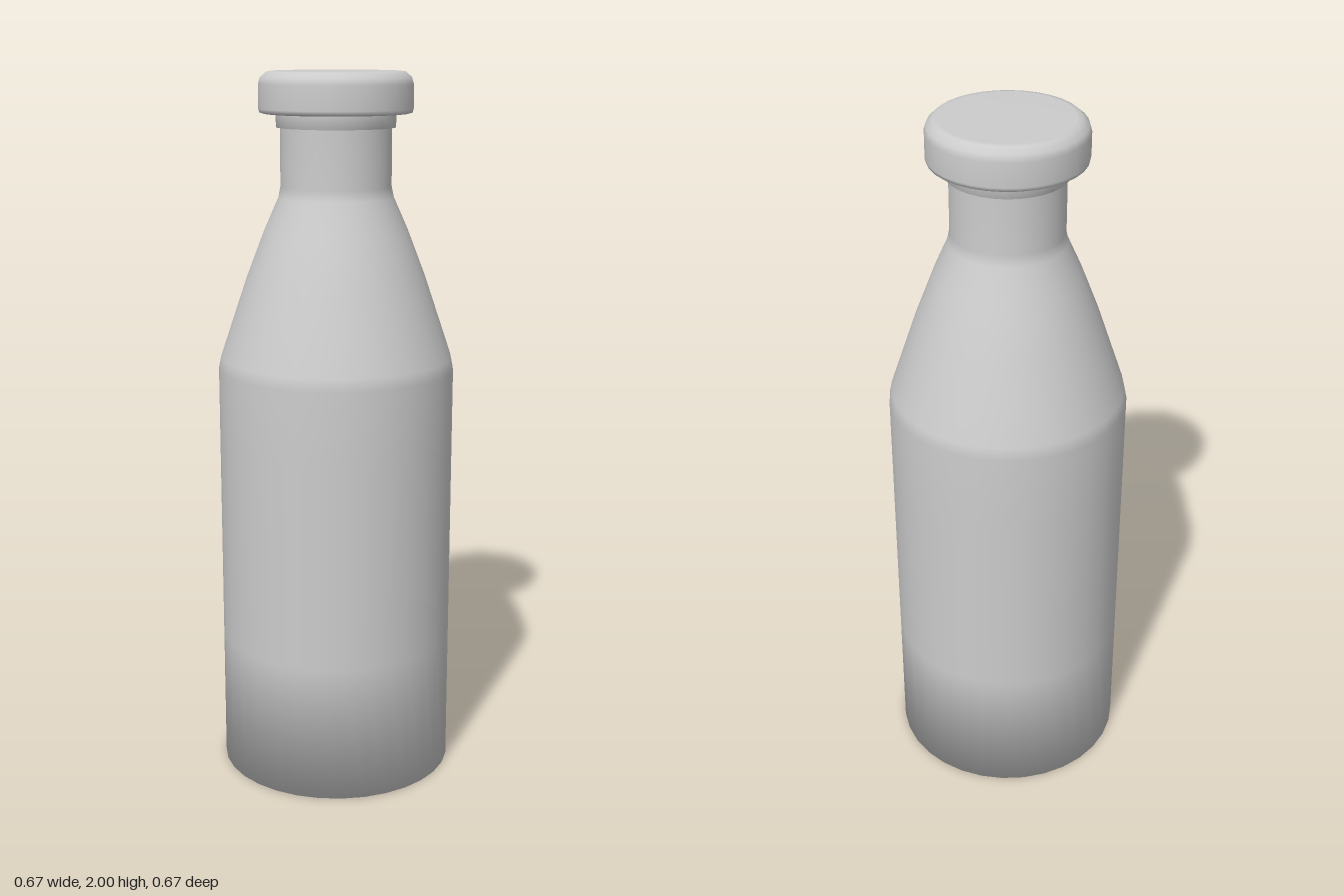
import * as THREE from 'three';

const SEGMENTS = 32;

// Turns a bottom-to-top [radius, height] profile into a named solid of revolution
function turned(name, profile) {
  const points = profile.map(([r, y]) => new THREE.Vector2(r, y));
  const mesh = new THREE.Mesh(
    new THREE.LatheGeometry(points, SEGMENTS),
    new THREE.MeshStandardMaterial({ color: 0xcccccc })
  );
  mesh.name = name;
  return mesh;
}

export function createModel() {
  const bottle = new THREE.Group();
  bottle.name = 'bottle';

  // Closed base, straight wall, sloping shoulder and narrow neck
  bottle.add(turned('body', [
    [0, 0], [0.333, 0], [0.333, 0.39], [0.333, 0.96], [0.333, 1.18],
    [0.326, 1.215], [0.25, 1.44], [0.2, 1.57], [0.16, 1.66], [0.154, 1.69], [0.154, 1.86],
  ]));

  // Thin ring below the cap
  bottle.add(turned('neckRing', [
    [0.15, 1.85], [0.165, 1.85], [0.165, 1.89],
  ]));

  // Rounded cap with a flat top
  bottle.add(turned('cap', [
    [0.15, 1.887], [0.2, 1.887], [0.21, 1.89], [0.2125, 1.9],
    [0.2125, 1.965], [0.207, 1.983], [0.19, 1.998], [0.175, 2], [0, 2],
  ]));

  return bottle;
}
